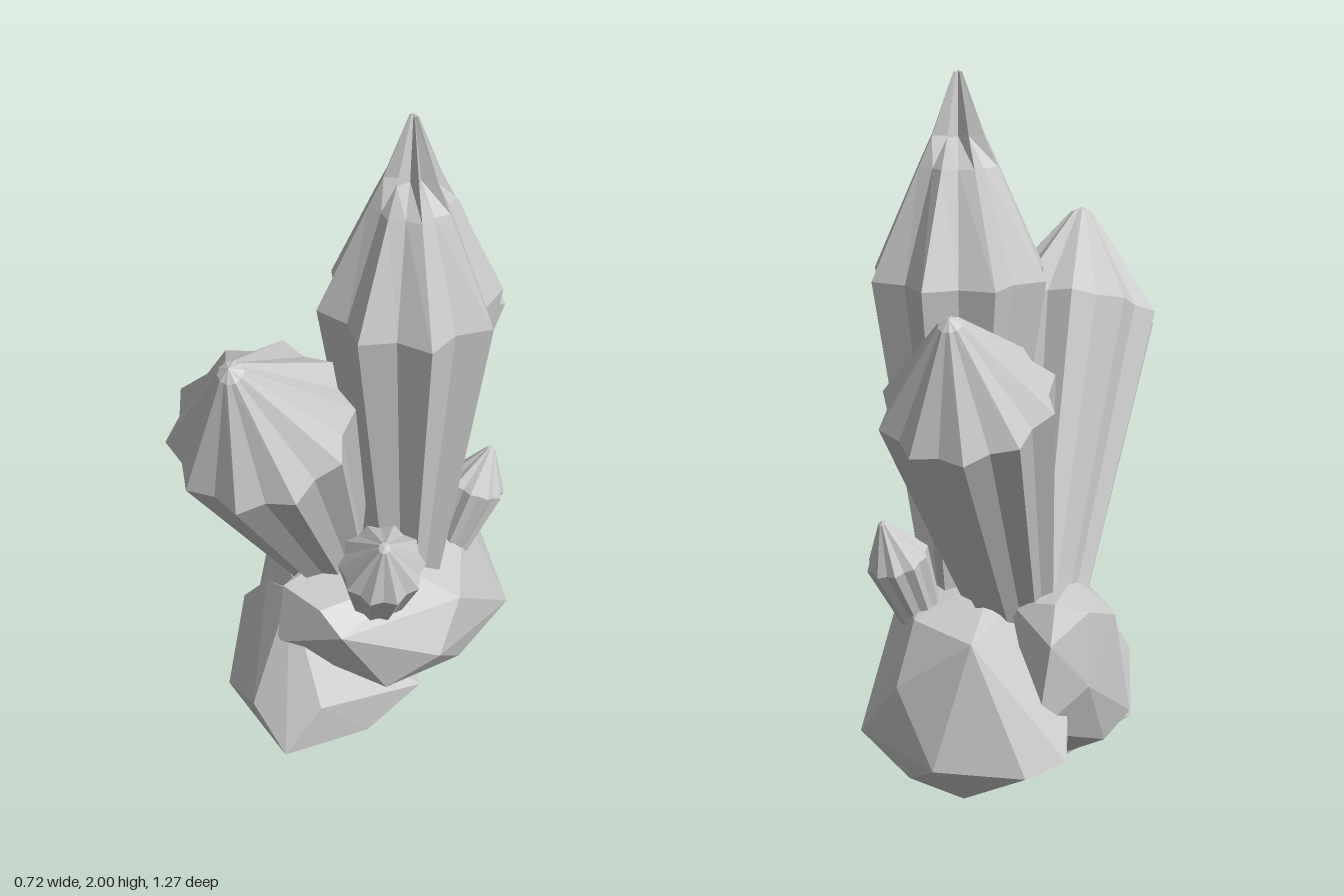
import * as THREE from 'three';
import { ConvexGeometry } from 'three/addons/geometries/ConvexGeometry.js';

const material = new THREE.MeshStandardMaterial({ color: 0xcccccc, flatShading: true });

// Fluted crystal grown along +y: each ring is [radius, height, valley ratio],
// every second column of the lathe is pulled in to form a valley.
function fluted(rings, lobes, turn) {
  const sides = lobes * 2;
  const profile = rings.map(([r, h]) => new THREE.Vector2(r, h));
  const geo = new THREE.LatheGeometry(profile, sides, turn);
  const pos = geo.attributes.position;
  for (let i = 1; i < sides; i += 2) {
    rings.forEach(([, , valley], j) => {
      const k = i * rings.length + j;
      pos.setX(k, pos.getX(k) * valley);
      pos.setZ(k, pos.getZ(k) * valley);
    });
  }
  geo.computeVertexNormals();
  return geo;
}

function place(name, geometry, base, tip) {
  const mesh = new THREE.Mesh(geometry, material);
  mesh.name = name;
  const axis = new THREE.Vector3().subVectors(tip, base).normalize();
  mesh.quaternion.setFromUnitVectors(new THREE.Vector3(0, 1, 0), axis);
  mesh.position.copy(base);
  return mesh;
}

// Blunt-tipped ten-lobed crystal leaning from base to tip
function leaningCrystal(name, baseAt, tipAt, rBase, rShoulder, shoulder) {
  const base = new THREE.Vector3(...baseAt), tip = new THREE.Vector3(...tipAt);
  const len = base.distanceTo(tip);
  const root = 0.06 * len;
  const rings = [
    [0, -root, 1],
    [rBase * 0.95, -root, 0.88],
    [rBase, 0, 0.88],
    [rShoulder, len * shoulder, 0.88],
    [rShoulder * 0.14, len * 0.98, 0.9],
    [0, len, 1],
  ];
  return place(name, fluted(rings, 10, Math.PI / 10), base, tip);
}

function rock(name, corners) {
  const mesh = new THREE.Mesh(new ConvexGeometry(corners.map((c) => new THREE.Vector3(...c))), material);
  mesh.name = name;
  return mesh;
}

export function createModel() {
  const model = new THREE.Group();
  model.name = 'crystalCluster';

  // Upright main crystal with a deeply fluted point
  const mainRings = [
    [0, -0.05, 1], [0.11, -0.05, 0.8], [0.115, 0, 0.8], [0.253, 0.9, 0.8],
    [0.114, 1.2, 0.84], [0.075, 1.28, 0.5], [0.012, 1.445, 0.4], [0, 1.45, 1],
  ];
  model.add(place('mainCrystal', fluted(mainRings, 8, 0),
    new THREE.Vector3(0.11, 0.55, -0.045), new THREE.Vector3(0.11, 2, -0.045)));

  // Leaning crystals around it
  model.add(leaningCrystal('frontCrystal', [-0.11, 0.57, 0.06], [-0.03, 1.54, 0.565], 0.135, 0.253, 0.71));
  model.add(leaningCrystal('backCrystal', [-0.06, 0.57, -0.1], [-0.08, 1.46, -0.56], 0.13, 0.237, 0.72));
  model.add(leaningCrystal('smallFrontCrystal', [0.155, 0.595, 0.175], [0.275, 0.935, 0.33], 0.085, 0.12, 0.62));
  model.add(leaningCrystal('smallBackCrystal', [0.16, 0.515, -0.22], [0.222, 0.815, -0.33], 0.062, 0.09, 0.6));

  // Low boulder at the front
  model.add(rock('frontRock', [
    [-0.36, 0.15, 0.1], [-0.33, 0.33, 0.17], [-0.28, 0.12, 0.33], [-0.2, 0.03, 0.3],
    [0, 0, 0.09], [-0.03, 0.04, 0.39], [0.02, 0.1, 0.46], [-0.12, 0.2, 0.42],
    [0.08, 0.24, 0.36], [0.15, 0.07, 0.22], [0.23, 0.17, 0.06], [-0.22, 0.47, 0.2],
    [-0.2, 0.04, 0], [0.03, 0.04, -0.15], [0.08, 0.18, -0.1], [0.02, 0.28, 0.35], [-0.1, 0.53, 0.25],
  ]));

  // Higher boulder carrying the crystals
  model.add(rock('mainRock', [
    [0.32, 0.37, 0.1], [0.31, 0.5, -0.02], [0.2, 0.58, 0.04], [0.12, 0.5, 0.31],
    [0.04, 0.56, 0.3], [-0.1, 0.57, 0.28], [-0.1, 0.38, 0.32], [0.2, 0.26, 0.2],
    [0.28, 0.2, -0.08], [0.28, 0.2, -0.37], [0.16, 0.06, -0.15], [0.1, 0.12, -0.44],
    [0, 0.19, -0.51], [-0.24, 0.18, -0.44], [-0.32, 0.2, -0.34], [-0.1, 0.04, -0.18],
    [0.14, 0.38, -0.43], [0.13, 0.54, -0.33], [-0.08, 0.54, -0.43], [0, 0.6, -0.05],
    [-0.1, 0.22, 0.12], [-0.04, 0.06, -0.39],
  ]));

  // Raised lump on the model's right flank, running down to the front boulder
  model.add(rock('sideRock', [
    [-0.32, 0.57, -0.17], [-0.24, 0.6, -0.22], [-0.34, 0.5, 0], [-0.34, 0.38, 0.04],
    [-0.33, 0.36, -0.19], [-0.27, 0.5, 0.1], [-0.2, 0.58, 0.04], [-0.1, 0.58, -0.2],
    [-0.22, 0.25, -0.3], [-0.36, 0.17, 0.09], [-0.32, 0.12, -0.02], [-0.1, 0.3, 0.1],
    [-0.25, 0.5, -0.28], [-0.2, 0.05, 0],
  ]));

  return model;
}
